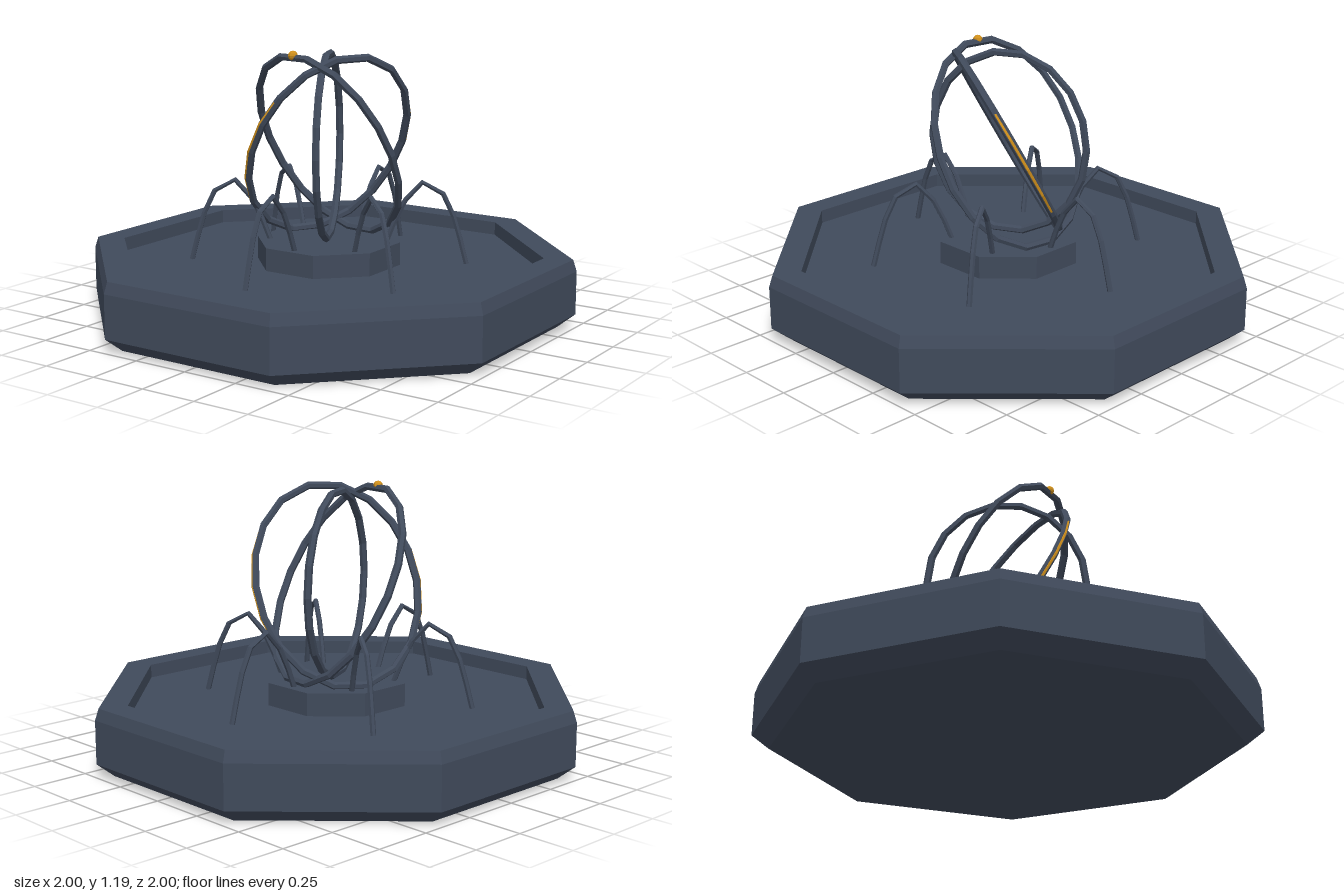
import * as THREE from 'three';

const slate = new THREE.MeshStandardMaterial({ color: 0x404a5b, flatShading: true });
slate.name = 'slate';
const gold = new THREE.MeshStandardMaterial({ color: 0xd0901c, flatShading: true });
gold.name = 'gold';

const OCT = 1 / Math.cos(Math.PI / 8); // flat-side distance to corner radius

// Closed ellipse through centre with two half-axis vectors
class Ellipse3 extends THREE.Curve {
  constructor(c, u, v) {
    super();
    Object.assign(this, { c, u, v });
  }
  getPoint(t, target = new THREE.Vector3()) {
    const a = t * Math.PI * 2;
    return target.copy(this.c).addScaledVector(this.u, Math.cos(a)).addScaledVector(this.v, Math.sin(a));
  }
}

function add(parent, name, geometry, material) {
  const mesh = new THREE.Mesh(geometry, material);
  mesh.name = name;
  parent.add(mesh);
  return mesh;
}

export function createModel() {
  const model = new THREE.Group();
  model.name = 'fountain';

  // Octagonal basin with chamfered foot, bevelled rim and sunken floor
  const profile = [[0, 0], [0.93, 0], [1, 0.06], [1, 0.25], [0.985, 0.3], [0.87, 0.3], [0.87, 0.24], [0, 0.24]]
    .map(([r, y]) => new THREE.Vector2(r * OCT, y));
  add(model, 'basin', new THREE.LatheGeometry(profile, 8, Math.PI / 8), slate);

  // Octagonal pedestal
  const r = 0.295 * OCT;
  add(model, 'pedestal', new THREE.CylinderGeometry(r, r, 0.1, 8, 1, false, Math.PI / 8), slate).position.y = 0.29;

  // Three crossing rings
  const centre = new THREE.Vector3(0, 0.755, 0);
  const V = (x, y, z) => new THREE.Vector3(x, y, z);
  const rings = [
    ['uprightRing', V(0.153, 0, 0.318), V(0, 0.405, 0)],
    ['forwardRing', V(0.353, 0, 0.048), V(-0.03, 0.41, 0.22)],
    ['sideRing', V(0.19, 0, -0.302), V(0.2, 0.41, 0.1)],
  ];
  for (const [name, u, v] of rings) {
    add(model, name, new THREE.TubeGeometry(new Ellipse3(centre, u, v), 18, 0.017, 6, true), slate);
  }

  // Gold inlay showing along the outer edges of the side ring
  const [, su, sv] = rings[2];
  const inlay = new Ellipse3(centre, su.clone().multiplyScalar(1.028), sv.clone().multiplyScalar(0.995));
  add(model, 'goldInlay', new THREE.TubeGeometry(inlay, 18, 0.009, 6, true), gold);

  // Gold bead on top of the forward ring
  add(model, 'goldBead', new THREE.SphereGeometry(0.021, 8, 6), gold).position.set(-0.03, 1.167, 0.22);

  // Six arched jets from the pedestal to the basin floor
  const arc = new THREE.CatmullRomCurve3(
    [[0.25, 0.32], [0.33, 0.51], [0.41, 0.6], [0.475, 0.58], [0.54, 0.47], [0.605, 0.24]]
      .map(([d, y]) => V(0, y, d)));
  const jet = new THREE.TubeGeometry(arc, 7, 0.012, 6, false);
  for (let i = 0; i < 6; i++) {
    add(model, 'jet' + (i + 1), jet, slate).rotation.y = (i * Math.PI) / 3;
  }

  return model;
}
